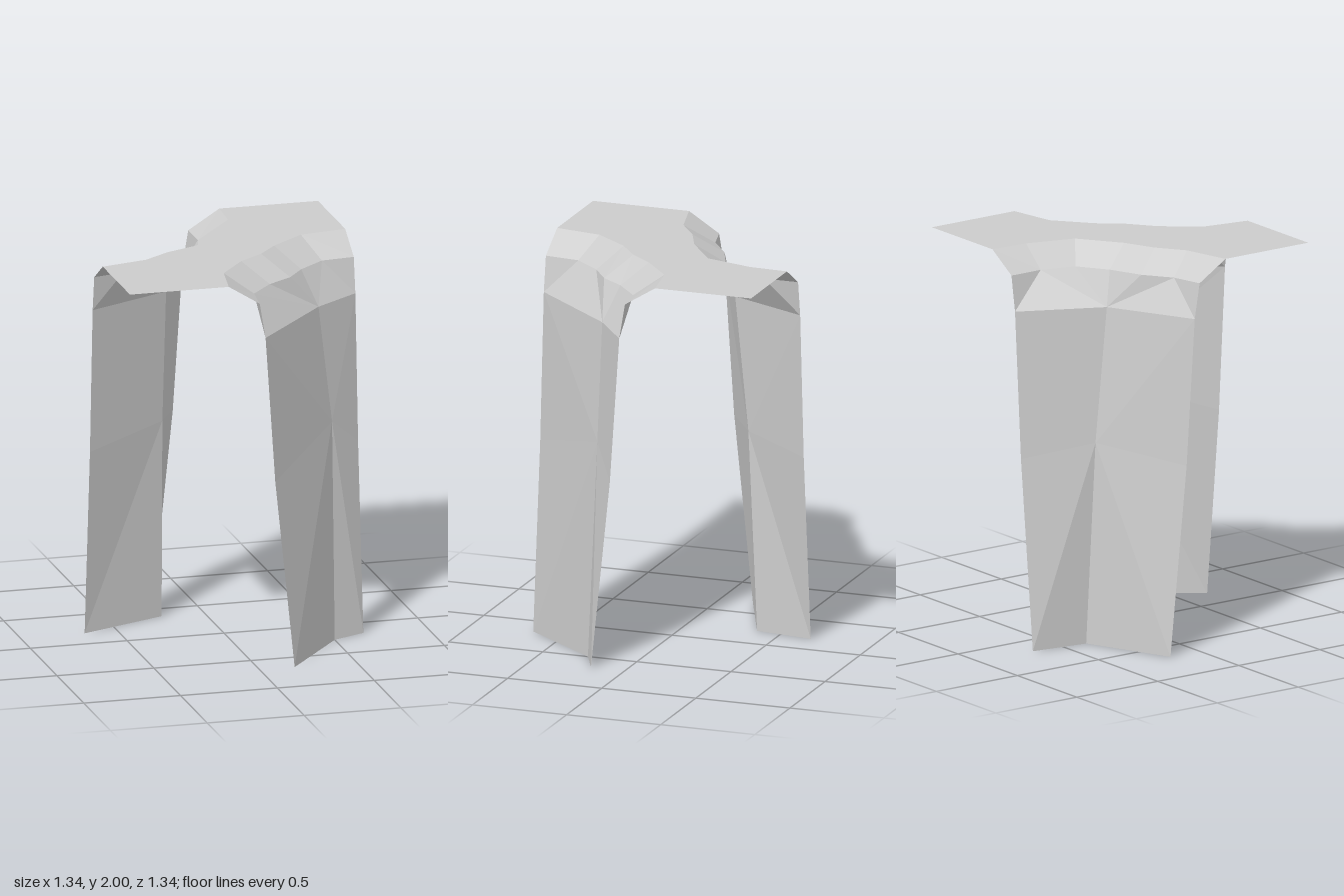
import * as THREE from 'three';

const TOP = 2, RIM = 1.9;

// Each cliff is listed left to right as seen from outside it.
// crest and rim are [x, z]; ledge, waist and foot are [x, y, z] rows of start, middle, end.
const frontCliff = {
  crest: [[-0.16, 0.67], [-0.12, 0.43], [0.02, 0.25], [0.15, 0.15], [0.25, 0.03], [0.43, -0.12], [0.67, -0.16]],
  rim: [[0, 0.67], [0.02, 0.49], [0.14, 0.35], [0.27, 0.26], [0.36, 0.14], [0.5, 0.02], [0.67, 0]],
  ledge: [[0.03, 1.72, 0.67], [0.43, 1.72, 0.21], [0.67, 1.72, 0.03]],
  waist: [[0.08, 0.97, 0.67], [0.5, 1.12, 0.21], [0.67, 0.97, 0.08]],
  foot: [[0.18, 0, 0.67], [0.5, 0, 0.26], [0.67, 0, 0.18]],
};
const backCliff = {
  crest: [[0.16, -0.67], [0.15, -0.47], [0.08, -0.22], [-0.13, -0.07], [-0.29, 0], [-0.43, 0.1], [-0.67, 0.16]],
  rim: [[0, -0.67], [0, -0.49], [-0.05, -0.31], [-0.2, -0.21], [-0.37, -0.14], [-0.51, -0.04], [-0.67, 0]],
  ledge: [[-0.03, 1.72, -0.67], [-0.23, 1.72, -0.25], [-0.67, 1.72, -0.03]],
  waist: [[-0.08, 0.97, -0.67], [-0.23, 1.03, -0.32], [-0.67, 0.97, -0.08]],
  foot: [[-0.18, 0, -0.67], [-0.22, 0, -0.37], [-0.67, 0, -0.18]],
};

const atHeight = (row, y) => row.map(([x, z]) => [x, y, z]);

// Unshared triangles keep every facet flat
function facets(triangles) {
  const g = new THREE.BufferGeometry();
  g.setAttribute('position', new THREE.Float32BufferAttribute(triangles.flat(2), 3));
  g.computeVertexNormals();
  return g;
}

// Sloping strip between the plateau edge and the rim
function lipGeometry({ crest, rim }) {
  const a = atHeight(crest, TOP), b = atHeight(rim, RIM), tris = [];
  for (let i = 0; i < a.length - 1; i++) {
    tris.push([a[i], b[i], b[i + 1]], [a[i], b[i + 1], a[i + 1]]);
  }
  return facets(tris);
}

// Broken band under the rim, gathered into the middle of the ledge
function overhangGeometry({ rim, ledge }) {
  const r = atHeight(rim, RIM), [start, mid, end] = ledge, n = r.length - 1;
  const tris = [[r[0], start, r[1]], [r[1], start, mid], [r[n - 1], mid, end], [r[n - 1], end, r[n]]];
  for (let i = 1; i < n - 1; i++) tris.push([r[i], mid, r[i + 1]]);
  return facets(tris);
}

// Tall wall, fanned around the middle of the waist
function wallGeometry({ ledge, waist, foot }) {
  const ring = [ledge[2], ledge[1], ledge[0], waist[0], foot[0], foot[1], foot[2], waist[2]];
  return facets(ring.map((p, i) => [waist[1], p, ring[(i + 1) % ring.length]]));
}

// Flat top bounded by both crests and the two far corners
function plateauGeometry() {
  const outline = [...frontCliff.crest, [0.67, -0.67], ...backCliff.crest, [-0.67, 0.67]];
  const shape = new THREE.Shape(outline.map(([x, z]) => new THREE.Vector2(x, -z)));
  return new THREE.ShapeGeometry(shape).rotateX(-Math.PI / 2).translate(0, TOP, 0);
}

export function createModel() {
  const model = new THREE.Group();
  model.name = 'cliffTile';

  const rock = new THREE.MeshStandardMaterial({ color: 0xcccccc });
  rock.name = 'rockGrey';
  rock.flatShading = true;
  rock.side = THREE.DoubleSide;

  const add = (parent, name, geometry) => {
    const mesh = new THREE.Mesh(geometry, rock);
    mesh.name = name;
    parent.add(mesh);
  };

  add(model, 'plateau', plateauGeometry());
  for (const [name, cliff] of [['frontCliff', frontCliff], ['backCliff', backCliff]]) {
    const group = new THREE.Group();
    group.name = name;
    add(group, 'lip', lipGeometry(cliff));
    add(group, 'overhang', overhangGeometry(cliff));
    add(group, 'wall', wallGeometry(cliff));
    model.add(group);
  }
  return model;
}
